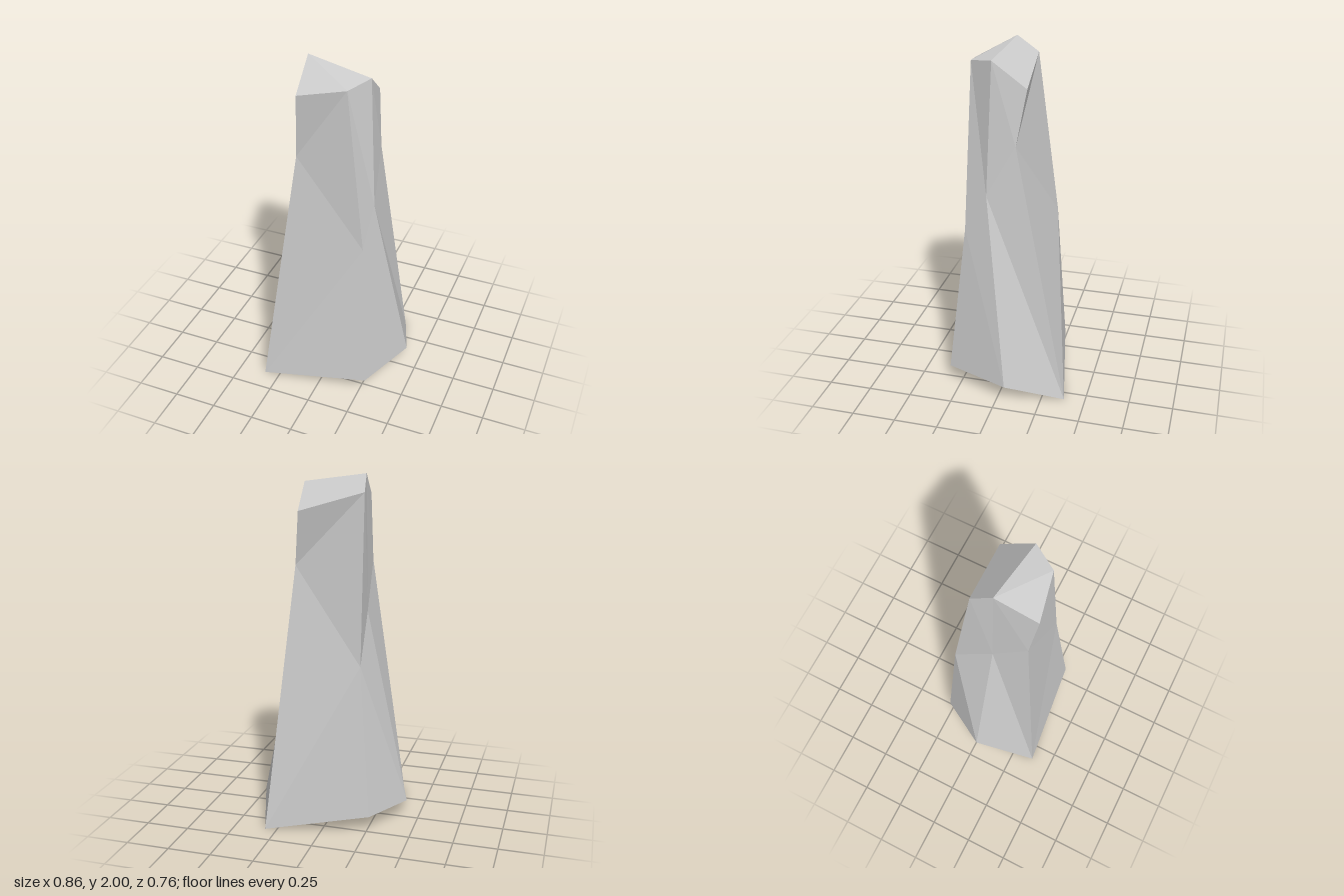
import * as THREE from 'three';

// Three irregular six-sided rings, each running front -> right -> back -> left
const RINGS = [
  // foot
  [[-0.34, 0, 0.38], [0.29, 0.1, 0.317], [0.43, 0.1, -0.05], [0.317, 0, -0.38], [-0.27, 0.1, -0.265], [-0.43, 0.1, 0.015]],
  // waist
  [[-0.16, 1.49, 0.22], [0.23, 0.98, 0.225], [0.245, 1.2, 0.095], [0.22, 1.49, -0.065], [-0.2, 0.97, -0.215], [-0.18, 1.235, 0.02]],
  // crown
  [[-0.135, 1.87, 0.258], [0.125, 1.92, 0.205], [0.205, 1.945, 0.07], [0.185, 1.8, -0.118], [-0.185, 1.91, -0.093], [-0.165, 2, 0.025]],
];

// Which way each side panel is creased: true = lower left to upper right
const RISING = [true, false, false, true, false, false];

// Facets closing the two ends
const TOP = [[5, 0, 1], [5, 1, 2], [4, 5, 2], [4, 2, 3]];
const BOTTOM = [[0, 3, 1], [3, 2, 1], [0, 4, 3], [0, 5, 4]];

function rockGeometry() {
  const n = RISING.length;
  const index = [];
  // side panels
  for (let r = 0; r < RINGS.length - 1; r++) {
    for (let i = 0; i < n; i++) {
      const j = (i + 1) % n;
      const a = r * n + i, b = r * n + j, c = b + n, d = a + n;
      if (RISING[i]) index.push(a, b, c, a, c, d);
      else index.push(a, b, d, b, c, d);
    }
  }
  // end facets
  const last = (RINGS.length - 1) * n;
  for (const t of TOP) index.push(...t.map((k) => k + last));
  for (const t of BOTTOM) index.push(...t);

  const indexed = new THREE.BufferGeometry();
  indexed.setAttribute('position', new THREE.Float32BufferAttribute(RINGS.flat(2), 3));
  indexed.setIndex(index);
  const geometry = indexed.toNonIndexed();
  geometry.computeVertexNormals();
  return geometry;
}

export function createModel() {
  const group = new THREE.Group();
  group.name = 'rockPillar';
  const stone = new THREE.MeshStandardMaterial({ color: 0xcccccc, flatShading: true });
  const rock = new THREE.Mesh(rockGeometry(), stone);
  rock.name = 'rock';
  group.add(rock);
  return group;
}
